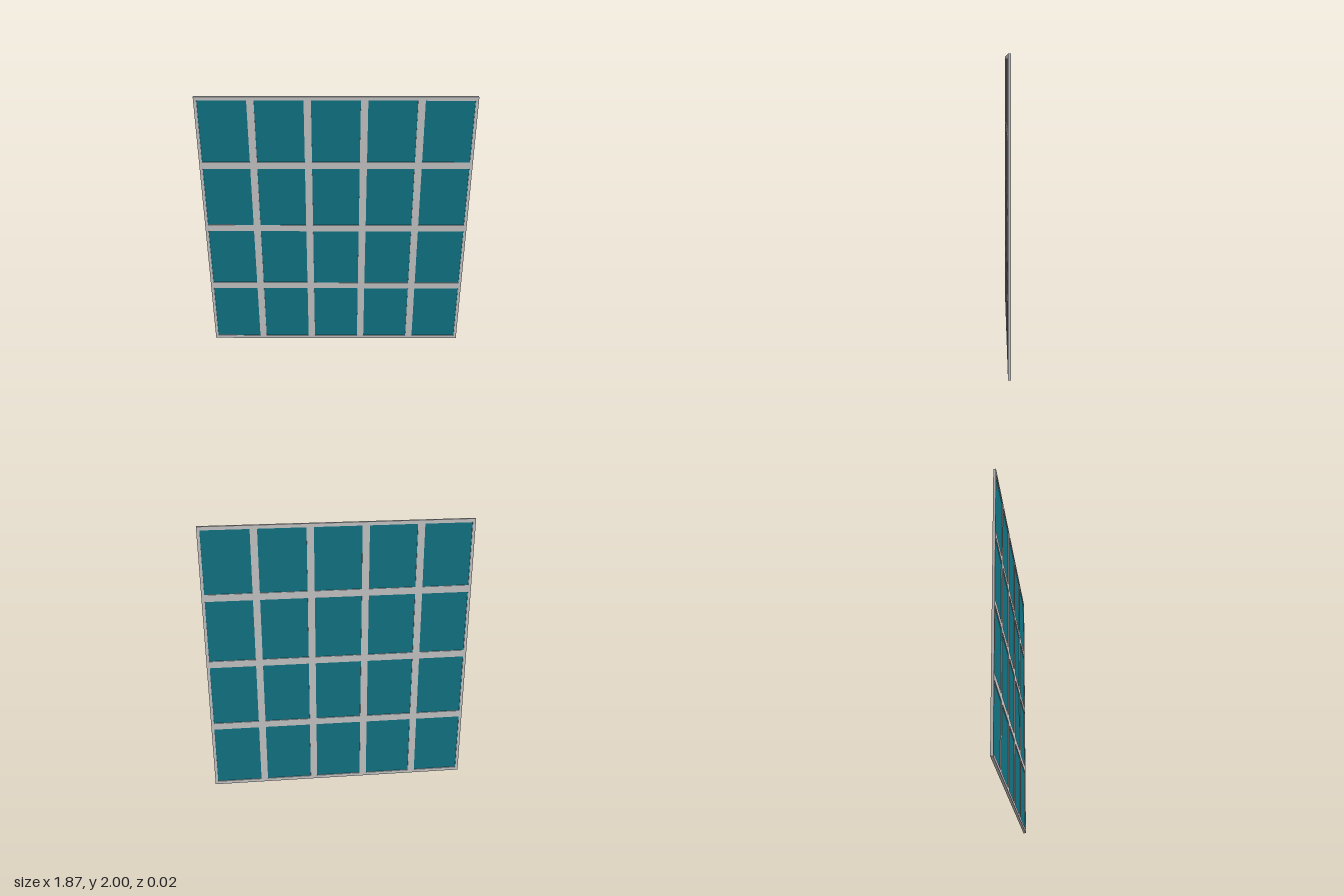
import * as THREE from 'three';

const COLS = 5, ROWS = 4;
const WIDTH = 1.867, HEIGHT = 2, DEPTH = 0.018;
const PANE_W = 0.326, PANE_H = 0.45, PITCH_X = 0.375, PITCH_Y = 0.5;
const GLASS_DEPTH = 0.006;

// Corners of a rectangle centred on (x, y)
function rectPoints(x, y, w, h) {
  return [[-1, -1], [1, -1], [1, 1], [-1, 1]].map(
    ([sx, sy]) => new THREE.Vector2(x + sx * w / 2, y + sy * h / 2));
}

export function createModel() {
  const model = new THREE.Group();
  model.name = 'windowGrid';
  const frameMaterial = new THREE.MeshStandardMaterial({ color: 0xcccccc });
  const glassMaterial = new THREE.MeshStandardMaterial({ color: 0x117788 });

  const outline = new THREE.Shape(rectPoints(0, HEIGHT / 2, WIDTH, HEIGHT));
  const panes = new THREE.Group();
  panes.name = 'panes';

  // One opening and one recessed pane per cell
  const paneGeometry = new THREE.BoxGeometry(PANE_W, PANE_H, GLASS_DEPTH);
  for (let row = 0; row < ROWS; row++) {
    for (let col = 0; col < COLS; col++) {
      const x = (col - (COLS - 1) / 2) * PITCH_X;
      const y = HEIGHT / 2 + (row - (ROWS - 1) / 2) * PITCH_Y;
      outline.holes.push(new THREE.Path(rectPoints(x, y, PANE_W, PANE_H).reverse()));
      const pane = new THREE.Mesh(paneGeometry, glassMaterial);
      pane.name = `pane_${row + 1}_${col + 1}`;
      pane.position.set(x, y, 0);
      panes.add(pane);
    }
  }

  // Frame with its glazing bars in one piece
  const frameGeometry = new THREE.ExtrudeGeometry(outline, { depth: DEPTH, bevelEnabled: false });
  frameGeometry.translate(0, 0, -DEPTH / 2);
  const frame = new THREE.Mesh(frameGeometry, frameMaterial);
  frame.name = 'frame';

  model.add(frame, panes);
  return model;
}
